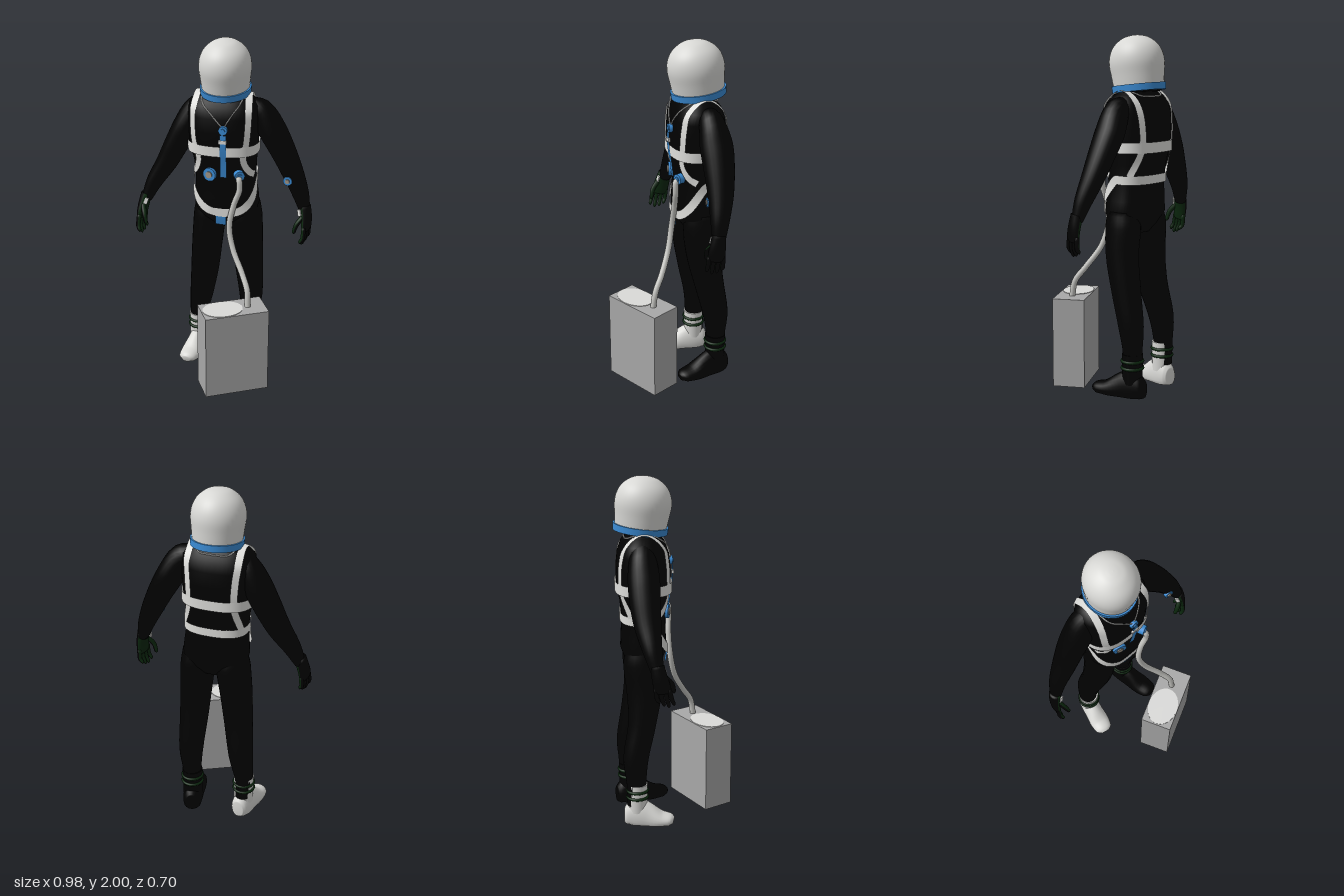
import * as THREE from 'three';

const mat = (name, color, double) => {
  const m = new THREE.MeshStandardMaterial({ color });
  m.name = name;
  if (double) m.side = THREE.DoubleSide;
  return m;
};
const V = (x, y, z) => new THREE.Vector3(x, y, z);
const spow = (v, e) => Math.sign(v) * Math.abs(v) ** e;

// Torso cross-sections: height, half width, half depth, sideways shift
const BOXY = 0.78;
const TORSO = [
  [0.92, 0.1, 0.075, 0], [0.97, 0.16, 0.11, 0], [1.03, 0.186, 0.13, 0], [1.1, 0.182, 0.127, -0.003], [1.2, 0.172, 0.122, -0.008],
  [1.3, 0.178, 0.132, -0.012], [1.4, 0.194, 0.15, -0.02], [1.5, 0.2, 0.152, -0.02], [1.58, 0.204, 0.143, -0.02], [1.64, 0.198, 0.122, -0.02],
  [1.68, 0.16, 0.09, -0.02], [1.7, 0.09, 0.07, -0.018], [1.75, 0.075, 0.065, -0.018],
];
function section(y) {
  let i = 0;
  while (i < TORSO.length - 2 && TORSO[i + 1][0] < y) i++;
  const [a, b] = [TORSO[i], TORSO[i + 1]];
  const t = THREE.MathUtils.clamp((y - a[0]) / (b[0] - a[0]), 0, 1);
  return [1, 2, 3].map(k => a[k] + (b[k] - a[k]) * t);
}
// Points on the torso: by angle, or by x on the front (1) or back (-1)
const onAngle = (a, y, off = 0.008) => {
  const [rx, rz, cx] = section(y);
  return V(cx + (rx + off) * spow(Math.sin(a), BOXY), y, (rz + off) * spow(Math.cos(a), BOXY));
};
const onSide = (x, y, side = 1, off = 0.008) => {
  const a = Math.asin(spow(THREE.MathUtils.clamp(x / section(y)[0], -1, 1), 1 / BOXY));
  return onAngle(side > 0 ? a : Math.PI - a, y, off);
};

// Skin over elliptical rings [x, y, z, ru, rv]; two materials split it lengthwise
function limb(rings, { steps = 4, n = 24, ref = V(0, 0, 1), split = false, power = 1 } = {}) {
  const path = new THREE.CatmullRomCurve3(rings.map(r => V(r[0], r[1], r[2])));
  const size = new THREE.CatmullRomCurve3(rings.map(r => V(r[3], r[4], 0)));
  const rows = (rings.length - 1) * steps, pos = [], halves = [[], []];
  for (let i = 0; i <= rows; i++) {
    const p = path.getPoint(i / rows), s = size.getPoint(i / rows), t = path.getTangent(i / rows);
    const u = t.clone().cross(ref).normalize(), v = u.clone().cross(t);
    for (let j = 0; j < n; j++) {
      const a = (j / n) * Math.PI * 2;
      const q = p.clone().addScaledVector(u, spow(Math.cos(a), power) * s.x).addScaledVector(v, spow(Math.sin(a), power) * s.y);
      pos.push(q.x, q.y, q.z);
    }
  }
  const end = rows * n, c = (rows + 1) * n;
  pos.push(...rings[0].slice(0, 3), ...rings[rings.length - 1].slice(0, 3));
  for (let j = 0; j < n; j++) {
    const k = (j + 1) % n, h = halves[Math.cos(((j + 0.5) / n) * Math.PI * 2) > 0 ? 0 : 1];
    for (let i = 0; i < rows; i++) {
      const a = i * n + j, b = i * n + k;
      h.push(a, a + n, b, a + n, b + n, b);
    }
    h.push(c, j, k, c + 1, end + k, end + j);
  }
  const g = new THREE.BufferGeometry();
  g.setAttribute('position', new THREE.Float32BufferAttribute(pos, 3));
  g.setIndex([...halves[0], ...halves[1]]);
  if (split) {
    g.addGroup(0, halves[0].length, 0);
    g.addGroup(halves[0].length, halves[1].length, 1);
  }
  g.computeVertexNormals();
  return g;
}

// Flat strap lying on the torso
function ribbon(points, width, closed = false) {
  const curve = new THREE.CatmullRomCurve3(points, closed), n = points.length * 5, pos = [], idx = [];
  const e = 2 / BOXY - 1;
  for (let i = 0; i <= n; i++) {
    const p = curve.getPoint(i / n), [rx, rz, cx] = section(Math.min(p.y, 1.64));
    const normal = V(spow((p.x - cx) / rx, e) / rx, Math.max(0, p.y - 1.6) * 300, spow(p.z / rz, e) / rz).normalize();
    const side = curve.getTangent(i / n).cross(normal).normalize().multiplyScalar(width / 2);
    pos.push(...p.clone().add(side).toArray(), ...p.clone().sub(side).toArray());
    if (i < n) idx.push(2 * i, 2 * i + 2, 2 * i + 1, 2 * i + 1, 2 * i + 2, 2 * i + 3);
  }
  const g = new THREE.BufferGeometry();
  g.setAttribute('position', new THREE.Float32BufferAttribute(pos, 3));
  g.setIndex(idx);
  g.computeVertexNormals();
  return g;
}

export function createModel() {
  const black = mat('suit black', 0x010101), white = mat('shell white', 0xd8d8d5);
  const strapWhite = mat('strap white', 0xdededb, true), blue = mat('fitting blue', 0x3a8ad2, true);
  const green = mat('glove green', 0x0a260d), grey = mat('case grey', 0xa8a8a8);
  const pale = mat('lid pale grey', 0xdadad8), hoseGrey = mat('hose grey', 0xc4c4c0), tan = mat('valve tan', 0x9c9284);
  const model = new THREE.Group();
  const add = (parent, name, geo, m, x = 0, y = 0, z = 0) => {
    const mesh = new THREE.Mesh(geo, m);
    mesh.name = name;
    mesh.position.set(x, y, z);
    parent.add(mesh);
    return mesh;
  };

  // Torso and harness, turned slightly to the left
  const body = new THREE.Group();
  body.name = 'torso';
  body.position.z = -0.153;
  body.rotation.y = 0.28;
  model.add(body);
  const trunk = limb(TORSO.map(([y, rx, rz]) => [0, y, 0, rx, rz]), { steps: 1, n: 56, power: BOXY });
  const tp = trunk.attributes.position;
  for (let i = 0; i < tp.count; i++) tp.setX(i, tp.getX(i) + section(tp.getY(i))[2]);
  trunk.computeVertexNormals();
  add(body, 'suitTorso', trunk, black);
  const loop = f => Array.from({ length: 40 }, (_, i) => onAngle((i / 40) * Math.PI * 2, f((i / 40) * Math.PI * 2), 0.01));
  add(body, 'chestBand', ribbon(loop(() => 1.397), 0.06, true), strapWhite);
  add(body, 'hipStrap', ribbon(loop(a => 1.22 - 0.2 * Math.max(0, Math.cos(a))), 0.05, true), strapWhite);
  for (const s of [-1, 1]) {
    add(body, 'shoulderStrap', ribbon([
      onSide(s * 0.168, 1.24), onSide(s * 0.145, 1.27), onSide(s * 0.122, 1.34), onSide(s * 0.143, 1.45),
      onSide(s * 0.15, 1.55), onSide(s * 0.15, 1.63), V(s * 0.146 - 0.02, 1.698, 0.025), V(s * 0.142 - 0.02, 1.698, -0.035),
      onSide(s * 0.138, 1.63, -1), onSide(s * 0.128, 1.52, -1), onSide(s * 0.125, 1.38, -1), onSide(s * 0.155, 1.24, -1),
    ], 0.04), strapWhite);
    add(body, 'neckCord', new THREE.TubeGeometry(new THREE.CatmullRomCurve3([
      onSide(0.02 + s * 0.005, 1.54), onSide(0.01 + s * 0.05, 1.6), onSide(s * 0.1, 1.66), V(s * 0.12 - 0.02, 1.705, 0),
      onSide(s * 0.08, 1.675, -1), onSide(0, 1.67, -1),
    ]), 30, 0.004, 6), strapWhite);
  }
  add(body, 'crotchTab', ribbon([onSide(-0.012, 1.0, 1, 0.014), onSide(-0.012, 0.97, 1, 0.02), onSide(-0.012, 0.94, 1, 0.035)], 0.062), blue);
  add(body, 'centreStrip', ribbon([[0.012, 1.24], [0.016, 1.32], [0.022, 1.42], [0.022, 1.5]].map(([x, y]) => onSide(x, y, 1, 0.017)), 0.036), blue);
  add(body, 'stripBuckle', new THREE.BoxGeometry(0.045, 0.02, 0.012), strapWhite, 0.002, 1.46, 0.168);

  // Round fittings
  const fitting = (parent, name, p, yaw, r, depth, centre) => {
    const g = new THREE.Group();
    g.name = name;
    g.position.copy(p);
    g.rotation.y = yaw;
    parent.add(g);
    add(g, 'fittingBase', new THREE.CylinderGeometry(r, r, depth, 20).rotateX(Math.PI / 2), blue);
    add(g, 'fittingCentre', new THREE.CylinderGeometry(r * 0.5, r * 0.5, 0.008, 16).rotateX(Math.PI / 2), centre, 0, 0, depth / 2 + 0.002);
  };
  fitting(body, 'chestBuckle', onSide(0.022, 1.525), 0, 0.025, 0.02, blue);
  fitting(body, 'chestValve', onSide(-0.064, 1.25), -0.3, 0.039, 0.02, tan);
  fitting(body, 'hoseConnector', onSide(0.094, 1.255), 0.4, 0.029, 0.05, blue);
  fitting(model, 'armValve', V(0.358, 1.215, -0.198), 0.15, 0.026, 0.02, tan);

  // Helmet
  const helmet = new THREE.Group();
  helmet.name = 'helmet';
  helmet.position.set(-0.014, 1.85, -0.144);
  helmet.rotation.set(0.12, 0.2, 0, 'YXZ');
  helmet.scale.z = 1.08;
  model.add(helmet);
  const dome = new THREE.SplineCurve([[0.132, -0.145], [0.14, -0.07], [0.147, 0], [0.138, 0.055], [0.113, 0.1], [0.07, 0.135], [0.03, 0.148], [0, 0.151]]
    .map(p => new THREE.Vector2(...p)));
  add(helmet, 'helmetDome', new THREE.LatheGeometry(dome.getPoints(32), 40), white);
  add(helmet, 'neckRing', new THREE.CylinderGeometry(0.144, 0.142, 0.038, 40), blue, 0, -0.138, 0);
  add(helmet, 'neckSeal', new THREE.CylinderGeometry(0.125, 0.11, 0.012, 32), black, 0, -0.158, 0);

  // Legs
  const legs = {
    rightLeg: [[-0.095, 1.04, -0.135, 0.085, 0.09], [-0.105, 0.95, -0.138, 0.092, 0.108], [-0.115, 0.8, -0.126, 0.088, 0.102],
      [-0.138, 0.6, -0.135, 0.085, 0.08], [-0.177, 0.4, -0.165, 0.071, 0.073], [-0.194, 0.25, -0.16, 0.054, 0.057], [-0.194, 0.12, -0.16, 0.05, 0.055]],
    leftLeg: [[0.1, 1.04, -0.185, 0.085, 0.095], [0.105, 0.95, -0.185, 0.092, 0.112], [0.115, 0.8, -0.19, 0.088, 0.1],
      [0.112, 0.6, -0.225, 0.081, 0.085], [0.107, 0.4, -0.265, 0.069, 0.074], [0.1, 0.25, -0.27, 0.053, 0.056], [0.1, 0.12, -0.268, 0.05, 0.055]],
  };
  for (const name in legs) add(model, name, limb(legs[name]), black);

  // Boots with ankle rings
  const boot = (name, x, z, yaw, length, m) => {
    const g = new THREE.Group();
    g.name = name;
    g.position.set(x, 0, z);
    g.rotation.y = yaw;
    model.add(g);
    const foot = limb([[0, 0.05, -0.075, 0.035, 0.05], [0, 0.05, -0.055, 0.05, 0.075], [0, 0.05, 0, 0.057, 0.105], [0, 0.04, 0.06, 0.058, 0.087],
      [0, 0.03, 0.13, 0.062, 0.048], [0, 0.028, 0.18, 0.052, 0.034], [0, 0.023, 0.2, 0.026, 0.02]], { ref: V(0, 1, 0) });
    const p = foot.attributes.position;
    for (let i = 0; i < p.count; i++) {
      p.setY(i, Math.max(p.getY(i), 0.004));
      if (p.getZ(i) > 0) p.setZ(i, p.getZ(i) * length / 0.2);
    }
    foot.computeVertexNormals();
    add(g, 'foot', foot, m);
    add(g, 'bootShaft', new THREE.CylinderGeometry(0.059, 0.056, 0.17, 24), m, 0, 0.165, 0);
    for (const y of [0.17, 0.21])
      add(g, 'ankleRing', new THREE.TorusGeometry(0.058, 0.009, 8, 28).rotateX(Math.PI / 2), green, 0, y, 0);
  };
  boot('rightBoot', -0.191, -0.155, 0.08, 0.21, white);
  boot('leftBoot', 0.1, -0.268, 0.5, 0.24, black);

  // Arms, blending into the shoulders
  const arms = {
    rightArm: [[-0.1, 1.625, -0.125, 0.045, 0.05], [-0.17, 1.595, -0.118, 0.07, 0.07], [-0.236, 1.48, -0.1, 0.076, 0.088],
      [-0.291, 1.37, -0.083, 0.069, 0.086], [-0.347, 1.25, -0.058, 0.06, 0.074], [-0.411, 1.13, -0.02, 0.047, 0.053], [-0.446, 1.03, 0.012, 0.03, 0.036]],
    leftArm: [[0.1, 1.625, -0.19, 0.045, 0.05], [0.17, 1.595, -0.22, 0.07, 0.07], [0.236, 1.48, -0.245, 0.076, 0.09],
      [0.296, 1.37, -0.257, 0.069, 0.083], [0.356, 1.25, -0.262, 0.06, 0.07], [0.413, 1.13, -0.256, 0.047, 0.052], [0.447, 1.03, -0.249, 0.03, 0.036]],
  };
  for (const name in arms) add(model, name, limb(arms[name]), black);

  // Gloves: black backs, green palms
  const hand = (name, s, x, z, lean) => {
    const g = new THREE.Group();
    g.name = name;
    g.position.set(x, 1.04, z);
    g.scale.setScalar(1.07);
    model.add(g);
    const mats = s < 0 ? [black, green] : [green, black];
    const part = (label, rings, n) => add(g, label, limb(rings.map(([a, b, c, ...r]) => [s * a, b, c, ...r]), { n, split: true }), mats);
    part('palm', [[0, 0.02, 0, 0.03, 0.035], [0.012, -0.04, lean * 0.3, 0.027, 0.041],
      [0.016, -0.09, lean * 0.6, 0.023, 0.044], [0.013, -0.115, lean * 0.7, 0.015, 0.036]], 20);
    for (let i = 0; i < 4; i++) {
      const c = (i - 1.5) * 0.023, tip = -0.2 + Math.abs(i - 1.7) * 0.014;
      part('finger', [[0.015, -0.09, c + lean * 0.6, 0.013, 0.012], [0.014, -0.15, c * 1.1 + lean * 0.85, 0.012, 0.011],
        [0.002, tip + 0.01, c * 1.1 + lean, 0.01, 0.009], [0.0, tip, c * 1.1 + lean, 0.003, 0.003]], 10);
    }
    part('thumb', [[0.005, -0.03, 0.02 + lean * 0.3, 0.014, 0.014], [-0.022, -0.075, 0.045 + lean * 0.5, 0.013, 0.013],
      [-0.035, -0.12, 0.045 + lean * 0.7, 0.01, 0.01], [-0.036, -0.13, 0.045 + lean * 0.7, 0.003, 0.003]], 10);
    const tab = add(g, 'wristTab', new THREE.BoxGeometry(0.02, 0.035, 0.008), strapWhite, -s * 0.016, -0.012, 0.037);
    tab.rotation.set(-0.15, -s * 0.4, s * 0.3);
  };
  hand('rightHand', -1, -0.446, 0.012, 0.045);
  hand('leftHand', 1, 0.447, -0.249, 0.02);

  // Portable supply case with lid and hose
  const supply = new THREE.Group();
  supply.name = 'supplyCase';
  supply.position.set(0.1975, 0, 0.1575);
  supply.rotation.y = 0.755;
  model.add(supply);
  add(supply, 'caseBody', new THREE.BoxGeometry(0.372, 0.51, 0.183), grey, 0, 0.275, 0);
  add(supply, 'caseLid', new THREE.CylinderGeometry(0.088, 0.088, 0.006, 40).scale(1.33, 1, 1), pale, -0.062, 0.53, 0);
  const hosePath = [[0.115, 1.25, -0.06], [0.133, 1.24, -0.032], [0.138, 1.18, -0.03], [0.105, 1.08, -0.025], [0.085, 0.95, -0.01],
    [0.12, 0.82, 0.01], [0.2, 0.7, 0.05], [0.25, 0.62, 0.085], [0.262, 0.525, 0.1]].map(p => V(...p));
  add(model, 'hose', new THREE.TubeGeometry(new THREE.CatmullRomCurve3(hosePath), 70, 0.017, 14), hoseGrey);

  return model;
}
